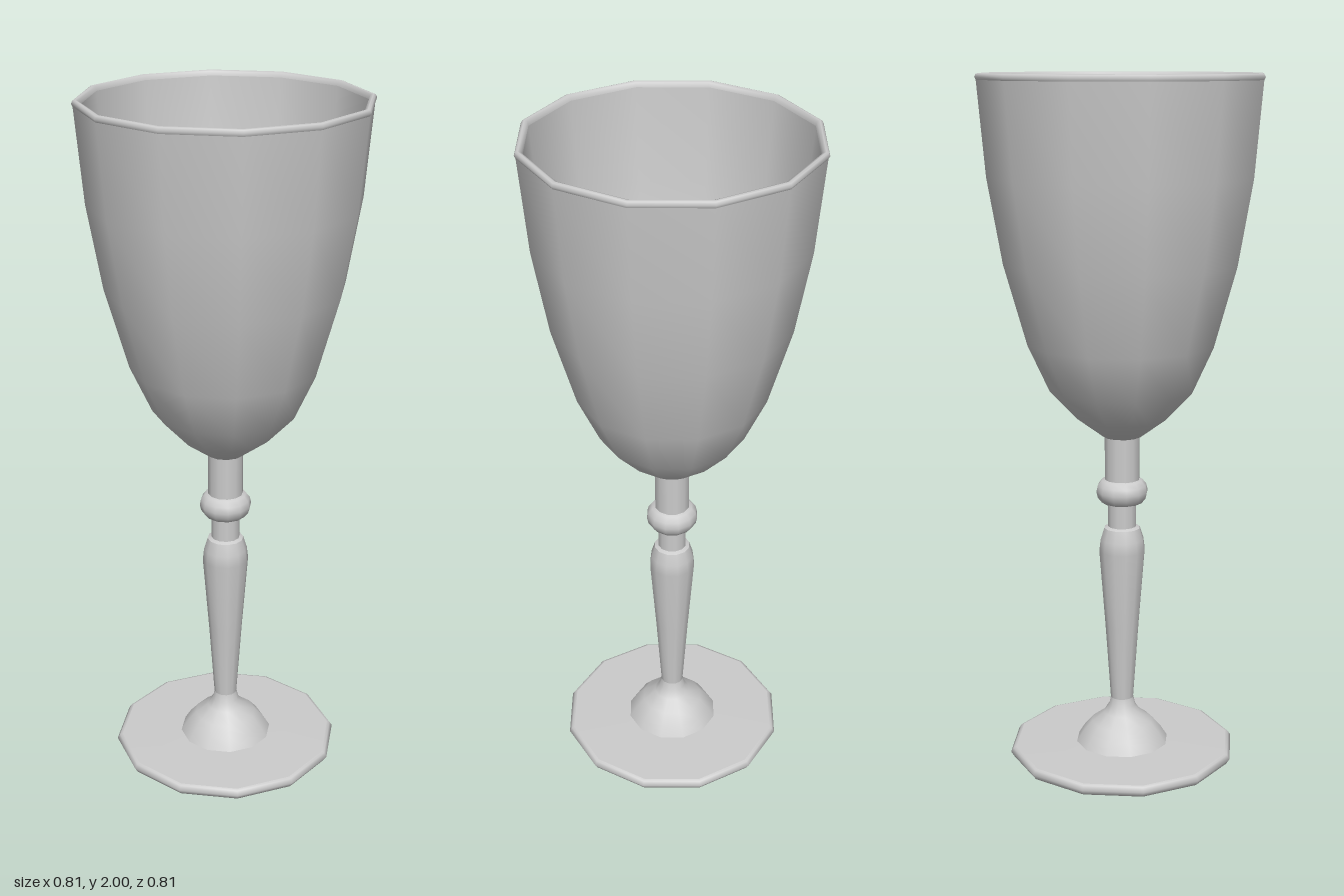
import * as THREE from 'three';

const SIDES = 12;
const material = new THREE.MeshStandardMaterial({ color: 0xcccccc });

// Turned part from [radius, height] pairs, listed so the surface faces outward
function turned(name, profile) {
  const points = profile.map(([r, y]) => new THREE.Vector2(r, y));
  const mesh = new THREE.Mesh(new THREE.LatheGeometry(points, SIDES), material);
  mesh.name = name;
  return mesh;
}

export function createModel() {
  const goblet = new THREE.Group();
  goblet.name = 'goblet';

  // Foot: flat underside, thin rounded edge, nearly flat top
  goblet.add(turned('footUnderside', [[0, 0], [0.32, 0]].map(([r, y]) => [r, y + 0.004])));
  goblet.add(turned('footEdge', [[0.32, 0.004], [0.328, 0], [0.338, 0.016], [0.33, 0.028], [0.322, 0.031]]));
  goblet.add(turned('footTop', [[0.322, 0.031], [0.13, 0.033]]));

  // Stem: flared dome, tapering shaft, shoulder and collar
  goblet.add(turned('stemBase', [
    [0.138, 0.033], [0.118, 0.065], [0.092, 0.095], [0.055, 0.122], [0.04, 0.145], [0.034, 0.17],
  ]));
  goblet.add(turned('stemShaft', [
    [0.034, 0.17], [0.05, 0.4], [0.068, 0.63], [0.064, 0.665], [0.053, 0.7],
  ]));
  goblet.add(turned('stemShoulder', [[0.053, 0.7], [0.042, 0.705]]));
  goblet.add(turned('stemCollar', [[0.042, 0.7], [0.042, 0.78]]));

  // Rounded bead and the neck above it
  goblet.add(turned('stemBead', [
    [0.04, 0.773], [0.06, 0.778], [0.072, 0.793], [0.076, 0.811], [0.072, 0.829], [0.06, 0.844], [0.04, 0.85],
  ]));
  goblet.add(turned('stemNeck', [[0.051, 0.846], [0.051, 0.98]]));

  // Bowl: outside, rounded rim and inside
  const bowl = new THREE.Group();
  bowl.name = 'bowl';
  bowl.add(turned('bowlOutside', [
    [0, 0.968], [0.055, 0.975], [0.13, 1.03], [0.21, 1.115], [0.272, 1.25],
    [0.337, 1.48], [0.379, 1.72], [0.402, 1.982],
  ]));
  bowl.add(turned('bowlRim', [
    [0.402, 1.982], [0.406, 1.99], [0.402, 1.998], [0.396, 2], [0.388, 1.997], [0.385, 1.985],
  ]));
  bowl.add(turned('bowlInside', [
    [0.385, 1.985], [0.362, 1.72], [0.32, 1.485], [0.256, 1.26], [0.196, 1.13],
    [0.12, 1.047], [0.05, 0.998], [0, 0.99],
  ]));
  goblet.add(bowl);

  return goblet;
}
